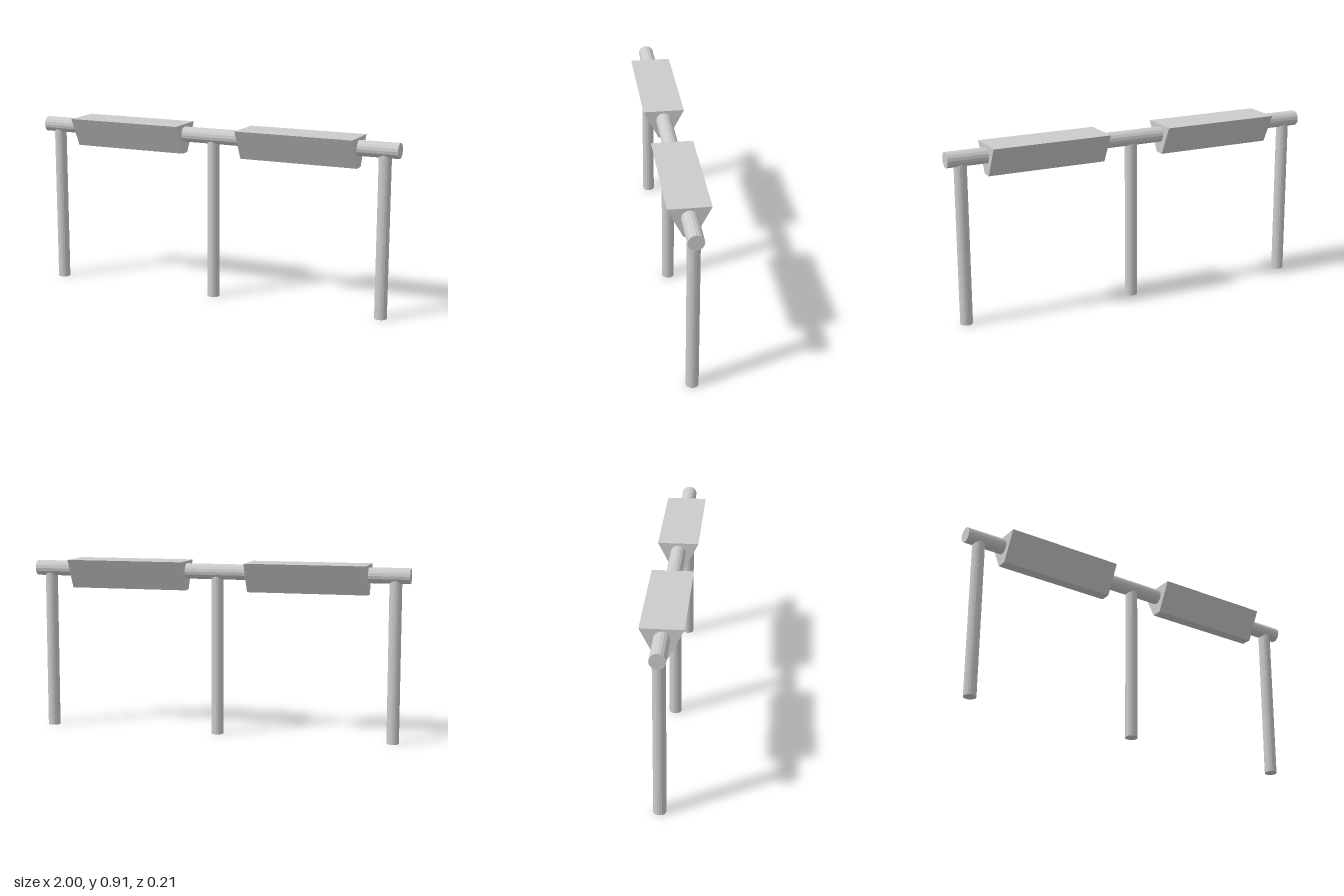
import * as THREE from 'three';

export function createModel() {
  const group = new THREE.Group();
  const material = new THREE.MeshStandardMaterial({ color: 0xcccccc, flatShading: true });
  const add = (name, geometry, x, y) => {
    const mesh = new THREE.Mesh(geometry, material);
    mesh.name = name;
    mesh.position.set(x, y, 0);
    group.add(mesh);
  };

  // Long horizontal rail
  const rail = new THREE.CylinderGeometry(0.04, 0.04, 2, 16);
  rail.rotateZ(Math.PI / 2);
  add('rail', rail, 0, 0.855);

  // Three round posts, ending inside the rail
  const postHeight = 0.835;
  const post = new THREE.CylinderGeometry(0.032, 0.032, postHeight, 16);
  [['rightPost', -0.925], ['middlePost', 0], ['leftPost', 0.925]]
    .forEach(([name, x]) => add(name, post, x, postHeight / 2));

  // Two tapered blocks around the rail, wide on top and narrow below
  const length = 0.625;
  const section = new THREE.Shape([
    new THREE.Vector2(-0.105, 0.907),
    new THREE.Vector2(-0.028, 0.755),
    new THREE.Vector2(0.028, 0.755),
    new THREE.Vector2(0.105, 0.907),
  ]);
  const block = new THREE.ExtrudeGeometry(section, { depth: length, bevelEnabled: false });
  block.translate(0, 0, -length / 2);
  block.rotateY(Math.PI / 2);
  [['rightBlock', -0.478], ['leftBlock', 0.478]]
    .forEach(([name, x]) => add(name, block, x, 0));

  return group;
}
